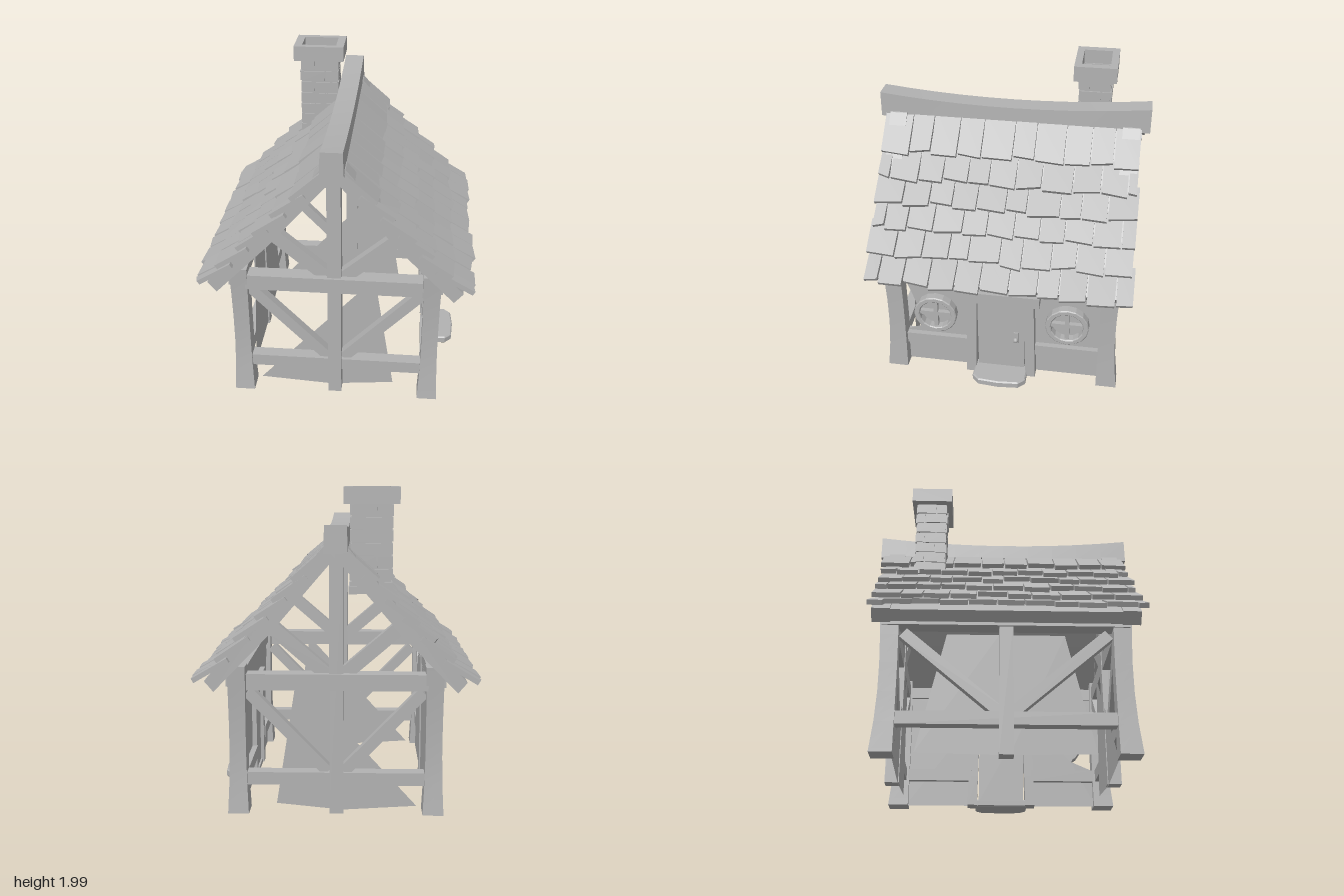
import * as THREE from 'three';

export function createModel() {
  const root = new THREE.Group();
  const clay = new THREE.MeshStandardMaterial({ color: 0xb2b2b2 });
  clay.name = 'plain grey';
  const sheetGrey = clay.clone();
  sheetGrey.name = 'plain grey sheet';
  sheetGrey.side = THREE.DoubleSide;
  let seed = 7;
  const rnd = (a) => {
    seed = (seed * 16807) % 2147483647;
    return (seed / 2147483647 - 0.5) * 2 * a;
  };
  const add = (name, geo, x = 0, y = 0, z = 0, mat = clay) => {
    const m = new THREE.Mesh(geo, mat);
    m.name = name;
    m.position.set(x, y, z);
    root.add(m);
    return m;
  };
  const box = (name, w, h, d, x, y, z) => add(name, new THREE.BoxGeometry(w, h, d), x, y, z);
  const warp = (geo, fn) => {
    const p = geo.attributes.position;
    for (let i = 0; i < p.count; i++) {
      const v = new THREE.Vector3().fromBufferAttribute(p, i);
      fn(v);
      p.setXYZ(i, v.x, v.y, v.z);
    }
    geo.computeVertexNormals();
    return geo;
  };
  const shapeOf = (pts) => new THREE.Shape(pts.map(([x, y]) => new THREE.Vector2(x, y)));
  // Beam from (a,b) to (c,d) in a gable plane, or in a side wall when side is true
  const beam = (name, a, b, c, d, w, depth, at, side = false) => {
    const geo = new THREE.BoxGeometry(Math.hypot(c - a, d - b), w, depth);
    geo.rotateZ(Math.atan2(d - b, c - a));
    if (side) geo.rotateY(-Math.PI / 2);
    const u = (a + c) / 2, y = (b + d) / 2;
    return side ? add(name, geo, at, y, u) : add(name, geo, u, y, at);
  };
  // Bent roof member: a profile of given thickness under the slope, extruded along z
  const slope = (name, sx, top, bottom, depth, z) => {
    const pts = [...top, ...bottom.slice().reverse()].map(([x, y]) => [sx * x, y]);
    const geo = new THREE.ExtrudeGeometry(shapeOf(pts), { depth, bevelEnabled: false });
    add(name, geo, 0, 0, z - depth / 2);
  };

  // Corner posts, wider at the foot and head
  for (const sx of [-1, 1]) for (const sz of [-1, 1]) {
    const geo = warp(new THREE.BoxGeometry(0.1, 0.92, 0.105, 1, 5, 1), (v) => {
      const t = v.y / 0.46, k = 1 + (t < 0 ? 0.28 : 0.1) * t * t;
      v.x *= k;
      v.z *= k;
      v.z += sz * 0.015 * t * t;
    });
    add('cornerPost', geo, sx * 0.595, 0.485, sz * 0.695);
  }

  // Gable framing, front and back
  for (const sz of [-1, 1]) {
    const z = sz * 0.7;
    box('gableCenterPost', 0.085, 1.6, 0.09, -0.005, 0.82, z);
    box('gableTieBeam', 1.09, 0.1, 0.1, -0.01, 0.85, z + sz * 0.01);
    box('gableLowerBeam', 1.09, 0.08, 0.08, 0, 0.24, z);
    for (const sx of [-1, 1]) {
      beam('gableLowerBrace', sx * 0.53, 0.78, sx * 0.05, 0.28, 0.07, 0.06, z - sz * 0.01);
      beam('gableUpperBrace', sx * 0.38, 1.175, sx * 0.04, 0.88, 0.085, 0.06, z - sz * 0.01);
      slope('rafter', sx, [[0, 1.7], [0.07, 1.66], [0.42, 1.25], [0.78, 0.865]],
        [[0, 1.6], [0.39, 1.145], [0.725, 0.8]], 0.11, sz * 0.745);
    }
    // Torn plaster sheet behind the timbers
    const tear = shapeOf([[-0.5, 0.04], [-0.04, 0.01], [0.37, 0.05], [0.25, 0.8], [0.19, 0.8]]);
    add('gableSheet', new THREE.ShapeGeometry(tear), 0, 0, sz * 0.66, sheetGrey);
  }

  // Open side wall framing and sheets
  box('sideCenterPost', 0.09, 0.84, 0.085, -0.6, 0.44, 0);
  box('sideLowerBeam', 0.07, 0.08, 1.3, -0.6, 0.24, 0);
  for (const sx of [-1, 1]) box('topPlate', 0.1, 0.08, 1.5, sx * 0.61, 0.86, 0);
  for (const sz of [-1, 1]) {
    beam('sideBrace', sz * 0.62, 0.78, sz * 0.04, 0.28, 0.07, 0.06, -0.6, true);
    const torn = shapeOf([[sz * 0.02, 0.04], [sz * 0.53, 0.05], [sz * 0.36, 0.8], [sz * 0.04, 0.8]]);
    const geo = new THREE.ShapeGeometry(torn).rotateY(-Math.PI / 2);
    add('sideSheet', geo, -0.565, 0, 0, sheetGrey);
  }

  // Door wall: panels, rails and round windows
  for (const sz of [-1, 1]) {
    const pts = sz > 0
      ? [[0.2, 0.03], [0.66, 0.03], [0.66, 0.28], [0.5, 0.35], [0.57, 0.5], [0.6, 0.6], [0.65, 0.74], [0.65, 0.84], [0, 0.84], [0, 0.66], [0.2, 0.66]]
      : [[-0.2, 0.03], [-0.66, 0.03], [-0.66, 0.84], [0, 0.84], [0, 0.66], [-0.2, 0.66]];
    add('doorWallPanel', new THREE.ShapeGeometry(shapeOf(pts)).rotateY(-Math.PI / 2), 0.575, 0, 0, sheetGrey);
    box('doorWallRail', 0.07, 0.08, 0.44, 0.575, 0.24, sz * 0.43);
    const ring = new THREE.Shape().absarc(0, 0, 0.136, 0, Math.PI * 2);
    ring.holes.push(new THREE.Path().absarc(0, 0, 0.112, 0, Math.PI * 2, true));
    const ringGeo = new THREE.ExtrudeGeometry(ring, {
      depth: 0.05, curveSegments: 8, bevelSize: 0.006, bevelThickness: 0.006, bevelSegments: 1,
    }).rotateY(Math.PI / 2);
    add('windowRing', ringGeo, 0.583, 0.48, sz * 0.435);
    box('windowBar', 0.03, 0.23, 0.028, 0.605, 0.48, sz * 0.435);
    box('windowBar', 0.03, 0.028, 0.23, 0.605, 0.48, sz * 0.435);
    // Door jamb, slightly splayed at the foot
    add('doorJamb', warp(new THREE.BoxGeometry(0.1, 0.61, 0.065, 1, 3, 1), (v) => {
      v.z += sz * 0.015 * (0.5 - v.y / 0.61);
    }), 0.595, 0.335, sz * 0.185);
  }
  box('doorWallSill', 0.06, 0.03, 0.32, 0.585, 0.045, 0);
  box('door', 0.045, 0.58, 0.31, 0.59, 0.345, 0);
  box('doorLintel', 0.12, 0.08, 0.52, 0.6, 0.672, 0.005);
  box('doorHandlePlate', 0.012, 0.09, 0.03, 0.617, 0.335, -0.1);
  add('doorKnob', new THREE.SphereGeometry(0.018, 8, 6), 0.635, 0.33, -0.1);

  // Rounded doorstep
  const step = shapeOf([[0.58, -0.17], [0.72, -0.17], [0.76, -0.13], [0.77, 0], [0.76, 0.13], [0.72, 0.17], [0.58, 0.17]]);
  const stepGeo = new THREE.ExtrudeGeometry(step, { depth: 0.035, bevelSize: 0.008, bevelThickness: 0.008, bevelSegments: 1 });
  add('doorStep', stepGeo.rotateX(-Math.PI / 2), 0, 0.033, 0);

  // Roof deck and overlapping uneven shingles
  const rows = [[0.05, 1.69], [0.245, 1.475], [0.365, 1.35], [0.475, 1.235], [0.59, 1.115], [0.71, 0.995], [0.845, 0.875]];
  for (const sx of [-1, 1]) {
    slope('roofDeck', sx, [[0.02, 1.68], [0.41, 1.24], [0.775, 0.86]],
      [[0.02, 1.62], [0.395, 1.17], [0.73, 0.805]], 1.6, 0);
    for (let r = 1; r < rows.length; r++) {
      const [x0, y0] = rows[r - 1], [x1, y1] = rows[r];
      const ang = Math.atan2(y1 - y0 + 0.035, x1 - x0 + 0.005);
      const n = 10, half = 0.825;
      const cuts = [-half + rnd(0.015)];
      for (let i = 1; i <= n; i++) {
        const c = -half + (2 * half * (i - (r % 2 ? 0 : 0.45))) / n + rnd(0.022);
        cuts.push(c);
      }
      if (r % 2) cuts[n] = half + rnd(0.015);
      else cuts.push(half + rnd(0.015));
      for (let i = 0; i + 1 < cuts.length; i++) {
        const w = cuts[i + 1] - cuts[i] - 0.006;
        const len = Math.hypot(x1 - x0, y1 - y0) + (r > 1 ? 0.07 : 0) + rnd(0.012);
        const skew = rnd(0.012), lift = rnd(0.006);
        const geo = warp(new THREE.BoxGeometry(len, 0.03, w), (v) => {
          const lower = v.x > 0;
          v.x += (lower ? skew * Math.sign(v.z) : 0) - len / 2;
          v.y += lower ? lift : -0.004;
          if (lower) v.z *= 0.97;
        });
        geo.rotateZ(ang);
        if (sx < 0) geo.rotateY(Math.PI);
        const out = rnd(0.012);
        add('shingle', geo, sx * (x1 + out), y1 - out * 0.9 - 0.002, (cuts[i] + cuts[i + 1]) / 2);
      }
    }
  }

  // Ridge beam with a sagging top
  add('ridgeBeam', warp(new THREE.BoxGeometry(0.14, 0.16, 1.72, 1, 1, 10), (v) => {
    const k = 1 - (v.z / 0.86) ** 2;
    if (v.y > 0) v.x *= 0.92;
    v.y -= v.y > 0 ? 0.05 * k : -0.01 * k;
  }), -0.004, 1.71, 0);

  // Hollow chimney: core, cap and raised bricks
  const tube = (name, w, d, hw, hd, y, h) => {
    const rect = (a, b) => [[-a, -b], [a, -b], [a, b], [-a, b]];
    const s = shapeOf(rect(w / 2, d / 2));
    s.holes.push(new THREE.Path(rect(hw / 2, hd / 2).reverse().map(([a, b]) => new THREE.Vector2(a, b))));
    const geo = new THREE.ExtrudeGeometry(s, { depth: h, bevelEnabled: false });
    add(name, geo.rotateX(-Math.PI / 2), -0.212, y, -0.497);
  };
  tube('chimneyCore', 0.24, 0.19, 0.21, 0.16, 1.36, 0.55);
  tube('chimneyCap', 0.335, 0.27, 0.23, 0.18, 1.9, 0.1);
  for (let r = 0; r < 7; r++) {
    const y = 1.4 + r * 0.077, odd = r % 2;
    for (const s of [-1, 1]) {
      const f = odd ? 0.04 : -0.03;
      const mid = -0.212 + f;
      for (const [a, b] of [[-0.337, mid], [mid, -0.087]])
        box('chimneyBrick', b - a - 0.008, 0.067, 0.024, (a + b) / 2, y + rnd(0.003), -0.497 + s * (0.092 + rnd(0.004)));
      const zm = -0.497 - f;
      for (const [a, b] of [[-0.597, zm], [zm, -0.397]])
        box('chimneyBrick', 0.024, 0.067, b - a - 0.008, -0.212 + s * (0.116 + rnd(0.004)), y + rnd(0.003), (a + b) / 2);
    }
  }
  // Flashing stone where the chimney meets the roof
  box('chimneyFlashing', 0.05, 0.05, 0.24, -0.1, 1.385, -0.497);

  return root;
}
